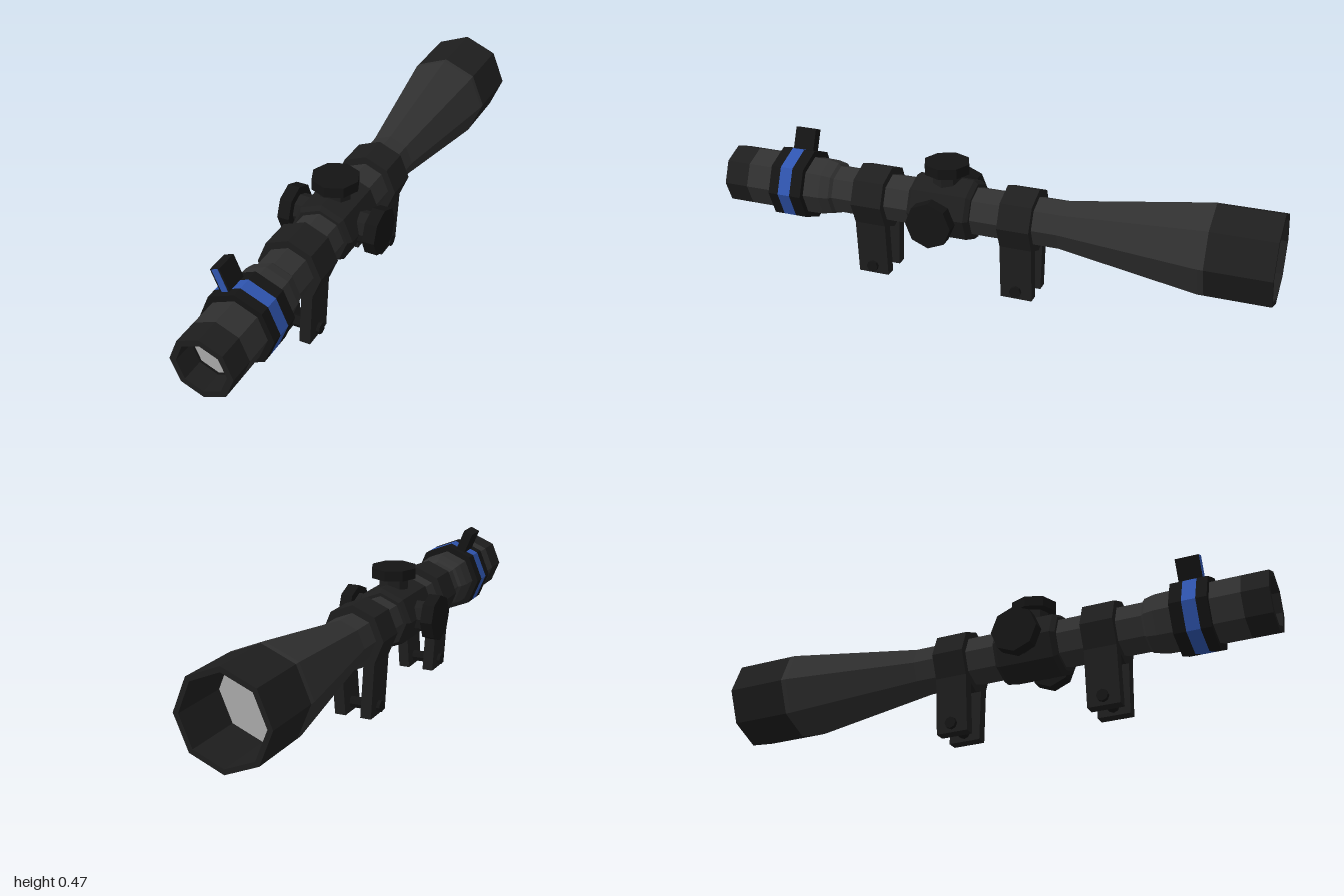
import * as THREE from 'three';

const AXIS = 0.283; // height of the optical axis
const TURRET_Z = 0.16;

const paint = (color) => new THREE.MeshStandardMaterial({ color, flatShading: true });

export function createModel() {
  const scope = new THREE.Group();
  scope.name = 'scope';
  const body = paint(0x303030);
  const dark = paint(0x1e1e1e);
  const black = paint(0x141414);
  const blue = paint(0x2f55b0);
  const glass = paint(0xaaaaaa);
  glass.side = THREE.DoubleSide;

  const add = (parent, name, geometry, material, x = 0, y = 0, z = 0) => {
    const mesh = new THREE.Mesh(geometry, material);
    mesh.name = name;
    mesh.position.set(x, y, z);
    parent.add(mesh);
    return mesh;
  };

  // Eight-sided turned part along z; profile is [radius, z], outside running to +z
  const turned = (name, profile, material) => {
    const points = profile.map(([r, z]) => new THREE.Vector2(r, z));
    const geometry = new THREE.LatheGeometry(points, 8).rotateX(Math.PI / 2);
    return add(scope, name, geometry, material, 0, AXIS, 0);
  };
  const ring = (name, outer, inner, z0, z1, material) =>
    turned(name, [[inner, z0], [outer, z0], [outer, z1], [inner, z1], [inner, z0]], material);

  // Main tube with flared objective bell and stepped eyepiece
  turned('mainTube', [
    [0.162, -0.78], [0.162, -0.76], [0.088, -0.27], [0.088, 0.575],
    [0.098, 0.585], [0.106, 0.62], [0.108, 0.69], [0.108, 0.91],
  ], body);

  // Hollow end pieces with recessed lenses
  ring('objectiveHood', 0.162, 0.144, -1, -0.78, dark);
  ring('eyepieceRim', 0.108, 0.086, 0.91, 1, dark);
  for (const [name, r, z] of [['objectiveLens', 0.146, -0.785], ['eyepieceLens', 0.083, 0.915]]) {
    add(scope, name, new THREE.CircleGeometry(r, 8), glass, 0, AXIS, z);
  }
  ring('eyepieceLensSeat', 0.09, 0.082, 0.905, 0.92, black);

  // Zoom ring: blue band between two black bands
  ring('zoomRingBack', 0.13, 0.1, 0.68, 0.723, black);
  ring('zoomBand', 0.13, 0.1, 0.723, 0.77, blue);
  ring('zoomRingFront', 0.13, 0.1, 0.77, 0.807, black);

  // Zoom lever standing on the upper right facet, with a blue stripe
  const lever = new THREE.Group();
  lever.name = 'zoomLever';
  lever.position.set(0, AXIS, 0.743);
  lever.rotation.z = Math.PI / 8;
  add(lever, 'leverPost', new THREE.BoxGeometry(0.036, 0.09, 0.08), black, 0, 0.155, 0);
  add(lever, 'leverStripe', new THREE.BoxGeometry(0.023, 0.083, 0.004), blue, 0, 0.1575, 0.04);
  scope.add(lever);

  // Turret housing with bevelled ends
  turned('turretHousing', [
    [0.08, 0.045], [0.1, 0.045], [0.113, 0.06], [0.113, 0.26], [0.1, 0.275], [0.08, 0.275],
  ], dark);

  // Three adjustment knobs: top, left and right
  const knobs = [['topKnob', 0, -0.01], ['leftKnob', -Math.PI / 2, 0], ['rightKnob', Math.PI / 2, 0]];
  for (const [name, angle, lift] of knobs) {
    const knob = new THREE.Group();
    knob.name = name;
    knob.position.set(0, AXIS, TURRET_Z);
    knob.rotation.z = angle;
    const inner = angle ? 0.137 : 0.133;
    const outer = angle ? 0.181 : 0.17;
    add(knob, 'knobNeck', new THREE.CylinderGeometry(0.054, 0.054, 0.065, 8), dark, 0, 0.11 + lift, 0);
    add(knob, 'knobCap', new THREE.CylinderGeometry(0.083, 0.083, outer - inner, 8), black, 0, (inner + outer) / 2, 0);
    scope.add(knob);
  }

  // Two mounts: clamp ring, splayed legs and a cross bolt
  const leg = new THREE.Shape([
    new THREE.Vector2(0.028, 0), new THREE.Vector2(0.068, 0),
    new THREE.Vector2(0.082, 0.21), new THREE.Vector2(0.042, 0.21),
  ]);
  const mirrored = new THREE.Shape(leg.getPoints().map((p) => new THREE.Vector2(-p.x, p.y)));
  const width = 0.115;
  for (const [name, z] of [['frontMount', 0.37], ['rearMount', -0.18]]) {
    ring(name + 'Ring', 0.115, 0.08, z, z + width, dark);
    for (const [side, shape] of [['LeftLeg', leg], ['RightLeg', mirrored]]) {
      const geometry = new THREE.ExtrudeGeometry(shape, { depth: width, bevelEnabled: false });
      add(scope, name + side, geometry, dark, 0, 0, z);
    }
    const bolt = new THREE.CylinderGeometry(0.021, 0.021, 0.166, 8).rotateZ(Math.PI / 2);
    add(scope, name + 'Bolt', bolt, black, 0, 0.031, z + width / 2);
  }

  return scope;
}
